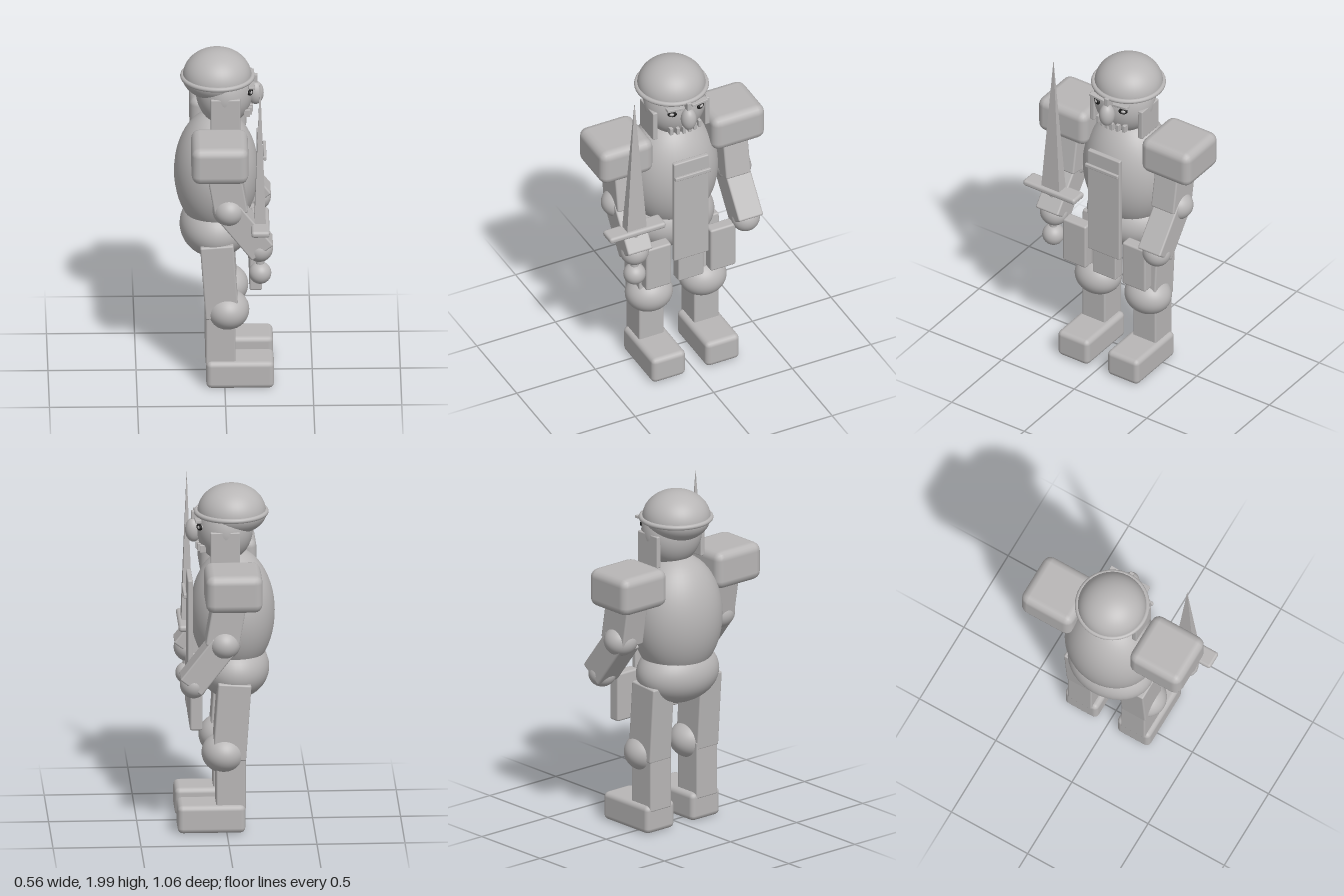
import * as THREE from 'three';
import { RoundedBoxGeometry } from 'three/addons/geometries/RoundedBoxGeometry.js';

const stone = new THREE.MeshStandardMaterial({ color: 0xb8b6b6 });
stone.name = 'stoneGrey';
const dark = new THREE.MeshStandardMaterial({ color: 0x1c1c1c });
dark.name = 'eyeBlack';

// The figure looks along +x, so its width runs along z.
export function createModel() {
  const root = new THREE.Group();
  root.name = 'swordsman';
  const body = new THREE.Group();
  body.name = 'figure';
  body.position.z = -0.004;
  root.add(body);

  const add = (name, geo, pos, mat = stone, parent = body) => {
    const m = new THREE.Mesh(geo, mat);
    m.name = name;
    m.position.set(...pos);
    parent.add(m);
    return m;
  };
  const ball = (name, pos, r, mat) => {
    const [a, b, c] = Array.isArray(r) ? r : [r, r, r];
    return add(name, new THREE.SphereGeometry(1, 40, 28).scale(a, b, c), pos, mat);
  };
  // Box with slightly softened edges; tilt turns it about z
  const block = (name, pos, size, radius = 0.01, tilt = 0, seg = 2) => {
    const m = add(name, new RoundedBoxGeometry(...size, seg, radius), pos);
    m.rotation.z = tilt;
    return m;
  };

  // Trunk
  ball('torso', [-0.045, 1.25, 0], [0.24, 0.37, 0.275]);
  ball('pelvis', [-0.05, 0.92, 0], [0.203, 0.18, 0.26]);

  // Head and helmet
  ball('head', [0, 1.75, 0], [0.162, 0.2, 0.183]);
  add('helmetDome', new THREE.SphereGeometry(1, 40, 16, 0, Math.PI * 2, 0, Math.PI / 2)
    .scale(0.195, 0.16, 0.195), [-0.04, 1.84, 0]);
  add('helmetUnderside', new THREE.SphereGeometry(1, 40, 16, 0, Math.PI * 2, Math.PI / 2, Math.PI / 2)
    .scale(0.195, 0.13, 0.185), [-0.045, 1.84, 0]);
  add('helmetRim', new THREE.TorusGeometry(0.199, 0.014, 12, 48).rotateX(Math.PI / 2), [-0.037, 1.84, 0]);
  block('noseGuard', [0.17, 1.82, 0], [0.04, 0.055, 0.026], 0.003);
  ball('nose', [0.178, 1.733, 0], [0.047, 0.07, 0.045]);
  for (let i = 0; i < 6; i++) {
    const z = (i - 2.5) * 0.036;
    block('tooth', [0.148 - z * z * 2.5, 1.646, z], [0.035, 0.045, 0.02], 0.003);
  }

  // Tabard with its strap and hanging panel
  block('tabard', [0.2, 1.122, 0], [0.03, 0.685, 0.222], 0.008);
  block('tabardStrap', [0.23, 1.37, 0], [0.018, 0.024, 0.226], 0.005);
  block('tabardPanel', [0.175, 0.71, 0], [0.07, 0.17, 0.16], 0.008);

  for (const s of [1, -1]) {
    // Face
    const z = s * 0.09;
    ball('eye', [0.138, 1.775, z], [0.022, 0.014, 0.02]);
    const lid = add('eyelid', new THREE.TorusGeometry(0.019, 0.008, 10, 28)
      .scale(1, 0.7, 1).rotateY(Math.PI / 2), [0.148, 1.775, z], dark);
    lid.rotation.y = -s * 0.45;
    const brow = block('brow', [0.155, 1.812, s * 0.078], [0.035, 0.016, 0.1], 0.003);
    brow.rotation.x = -s * 0.1;
    block('cheekGuard', [0.005, 1.672, s * 0.166], [0.168, 0.188, 0.03], 0.006);

    // Arms
    block('shoulderPlate', [-0.031, 1.496, s * 0.356], [0.323, 0.222, 0.336], 0.05);
    block('upperArm', [0.005, 1.335, s * 0.345], [0.19, 0.36, 0.157], 0.01, 0.17);
    ball('elbow', [0.02, 1.168, s * 0.366], [0.093, 0.09, 0.103]);
    block('forearm', [0.118, 1.045, s * 0.352], [0.155, 0.31, 0.155], 0.01, 0.66);
    ball('hand', [0.194, 0.924, s * 0.353], [0.078, 0.08, 0.083]);

    // Legs
    block('hipPlate', [0.175, 0.768, s * 0.205], [0.072, 0.287, 0.16], 0.012);
    block('thigh', [-0.03, 0.66, s * 0.18], [0.19, 0.45, 0.16], 0.01, 0.07);
    ball('knee', [0.015, 0.46, s * 0.171], [0.125, 0.114, 0.14]);
    block('shin', [-0.024, 0.305, s * 0.175], [0.168, 0.34, 0.157], 0.01);
    block('foot', [0.087, 0.088, s * 0.171], [0.385, 0.165, 0.215], 0.03);
  }

  // Sword, held upright
  const sz = 0.355, sx = 0.198;
  block('swordGuard', [sx, 1.083, sz], [0.105, 0.038, 0.357], 0.016);
  block('bladeBase', [sx, 1.05, sz], [0.04, 0.03, 0.05], 0.003);
  add('swordGrip', new THREE.CylinderGeometry(0.024, 0.024, 0.32, 24), [sx, 0.92, sz]);
  ball('swordPommel', [sx, 0.77, sz], 0.064);
  add('swordBlade', new THREE.ConeGeometry(Math.SQRT2, 0.9, 4).rotateY(Math.PI / 4)
    .scale(0.033, 1, 0.063).toNonIndexed(), [sx, 1.533, sz]).geometry.computeVertexNormals();

  return root;
}
